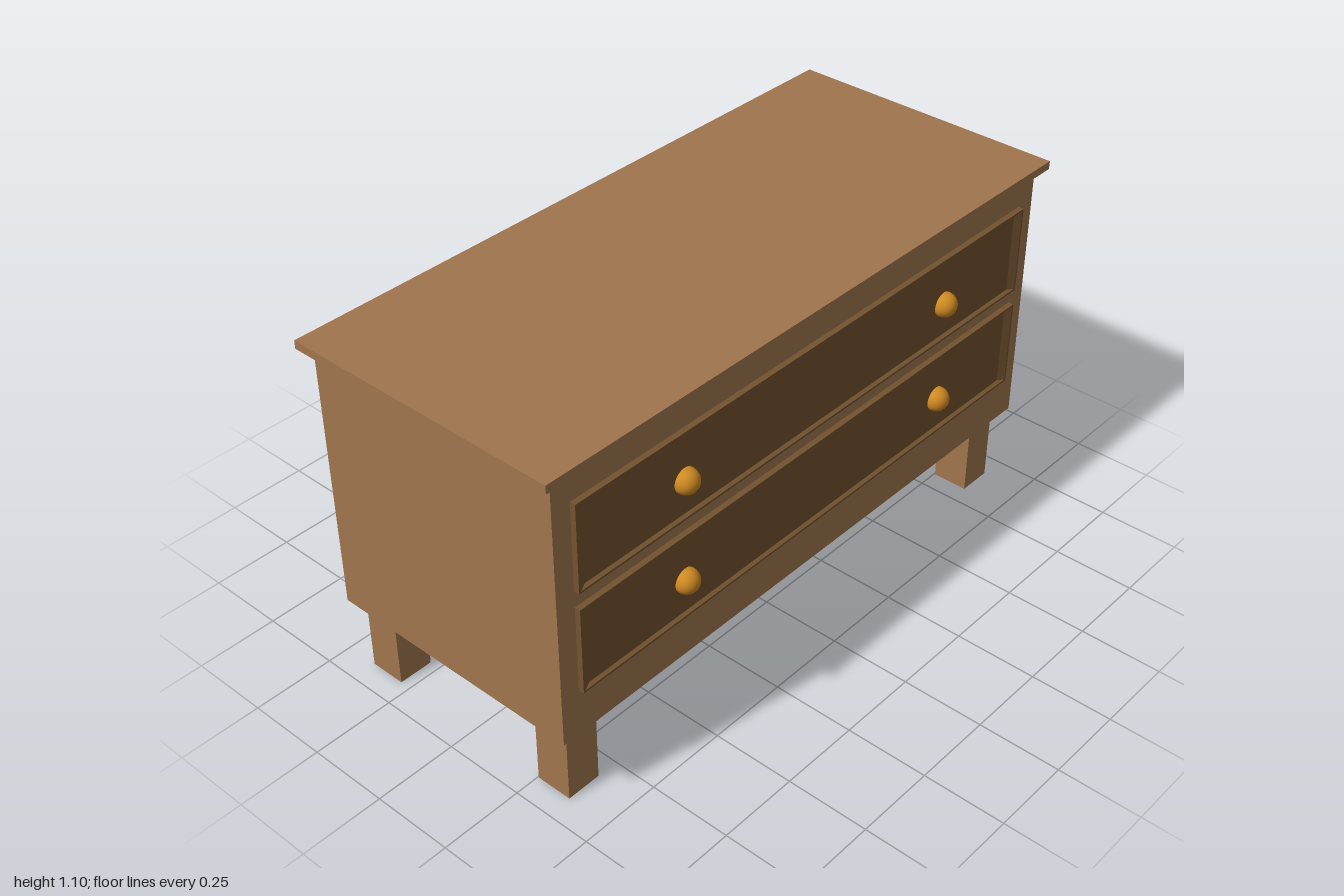
import * as THREE from 'three';

const wood = new THREE.MeshStandardMaterial({ color: 0xa0764e });
const darkWood = new THREE.MeshStandardMaterial({ color: 0x73532f, flatShading: true });
const brass = new THREE.MeshStandardMaterial({ color: 0xcf8a22 });

// Box given by its minimum and maximum corners
function box(name, [x0, y0, z0], [x1, y1, z1]) {
  const mesh = new THREE.Mesh(new THREE.BoxGeometry(x1 - x0, y1 - y0, z1 - z0), wood);
  mesh.name = name;
  mesh.position.set((x0 + x1) / 2, (y0 + y1) / 2, (z0 + z1) / 2);
  return mesh;
}

// Drawer front facing +x: nested rectangles form a thin rim around a shallow recess
function drawerFront(width, height) {
  const rings = [ // x, inset along z, inset along y
    [0, 0, 0],
    [0.017, 0, 0],
    [0.017, 0.006, 0.006],
    [0.006, 0.03, 0.01],
  ].map(([x, dz, dy]) => {
    const z = width / 2 - dz, y = height / 2 - dy;
    return [[x, -y, z], [x, -y, -z], [x, y, -z], [x, y, z]];
  });
  const points = [];
  const quad = (a, b, c, d) => points.push(...a, ...b, ...c, ...a, ...c, ...d);
  for (let r = 0; r < rings.length - 1; r++) {
    for (let i = 0; i < 4; i++) {
      const j = (i + 1) % 4;
      quad(rings[r][i], rings[r][j], rings[r + 1][j], rings[r + 1][i]);
    }
  }
  quad(...rings[rings.length - 1]);
  const geometry = new THREE.BufferGeometry();
  geometry.setAttribute('position', new THREE.Float32BufferAttribute(points, 3));
  geometry.computeVertexNormals();
  return geometry;
}

export function createModel() {
  const model = new THREE.Group();
  model.name = 'chestOfDrawers';

  // Carcass and overhanging top
  model.add(box('body', [-0.425, 0.245, -0.965], [0.4, 1.07, 0.965]));
  model.add(box('top', [-0.45, 1.07, -1], [0.425, 1.095, 1]));

  // Four square legs
  for (const x of [-0.397, 0.253]) {
    for (const z of [-0.922, 0.816]) {
      model.add(box('leg', [x, 0, z], [x + 0.112, 0.245, z + 0.108]));
    }
  }

  // Two drawers, each with a pair of round knobs
  const front = drawerFront(1.805, 0.27);
  const ball = new THREE.SphereGeometry(0.037, 32, 20);
  for (const y of [0.525, 0.845]) {
    const drawer = new THREE.Group();
    drawer.name = 'drawer';
    const panel = new THREE.Mesh(front, darkWood);
    panel.name = 'drawerFront';
    panel.position.set(0.4, y, 0.002);
    drawer.add(panel);
    for (const z of [0.52, -0.548]) {
      const knob = new THREE.Mesh(ball, brass);
      knob.name = 'knob';
      knob.position.set(0.411, y - 0.019, z);
      drawer.add(knob);
    }
    model.add(drawer);
  }
  return model;
}
